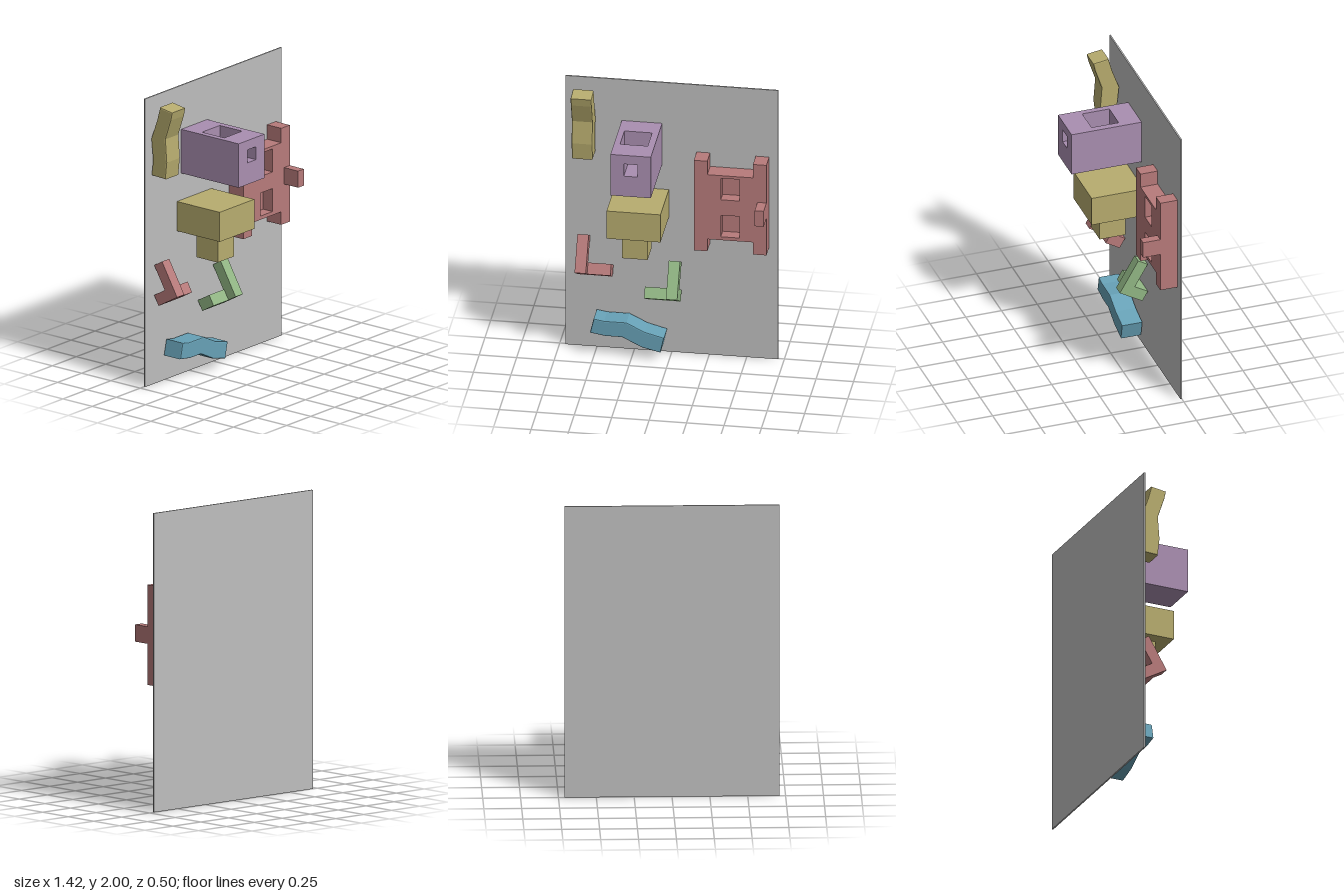
import * as THREE from 'three';

const mat = (name, color) => {
  const m = new THREE.MeshStandardMaterial({ color });
  m.name = name;
  return m;
};

export function createModel() {
  const grey = mat('grey', 0xbebebe);
  const purple = mat('purple', 0xaa8fb1);
  const yellow = mat('yellow', 0xb8ad6f);
  const red = mat('red', 0xb87b7b);
  const green = mat('green', 0x92b785);
  const blue = mat('blue', 0x67a1b6);

  const root = new THREE.Group();
  root.name = 'displayBoard';

  const add = (parent, name, geometry, material) => {
    const mesh = new THREE.Mesh(geometry, material);
    mesh.name = name;
    parent.add(mesh);
    return mesh;
  };
  const group = (name) => {
    const g = new THREE.Group();
    g.name = name;
    root.add(g);
    return g;
  };
  // box given by its limits on each axis
  const box = (parent, name, material, [x0, x1], [y0, y1], [z0, z1]) => {
    const g = new THREE.BoxGeometry(x1 - x0, y1 - y0, z1 - z0);
    g.translate((x0 + x1) / 2, (y0 + y1) / 2, (z0 + z1) / 2);
    return add(parent, name, g, material);
  };
  const points = (list) => list.map(([x, y]) => new THREE.Vector2(x, y));
  const rect = (x0, x1, y0, y1) => points([[x0, y0], [x1, y0], [x1, y1], [x0, y1]]);
  const shapeOf = (outline, holes = []) => {
    const s = new THREE.Shape(outline);
    holes.forEach((h) => s.holes.push(new THREE.Path(h)));
    return s;
  };
  const extrude = (shape, depth) => new THREE.ExtrudeGeometry(shape, { depth, bevelEnabled: false });
  // extrusion with slightly softened edges, kept inside its outline
  const softExtrude = (outline, depth, b = 0.008) =>
    new THREE.ExtrudeGeometry(shapeOf(points(outline)), {
      depth: depth - 2 * b, bevelThickness: b, bevelSize: b, bevelOffset: -b, bevelSegments: 2,
    }).translate(0, 0, b);

  // back board
  box(root, 'backPanel', grey, [-0.71, 0.71], [0, 2], [-0.25, -0.24]);

  // socket block: solid base, layer with a front tunnel, layer with the top opening
  const socket = group('socketBlock');
  box(socket, 'socketBase', purple, [-0.335, -0.065], [1.39, 1.54], [-0.24, 0.25]);
  const layer = (name, shape, y0, y1) => {
    const g = extrude(shape, y1 - y0);
    g.rotateX(-Math.PI / 2).translate(0, y0, 0);
    add(socket, name, g, purple);
  };
  // shapes are drawn in x and -z
  layer('tunnelLayer', shapeOf(points([
    [-0.335, -0.25], [-0.245, -0.25], [-0.245, -0.095], [-0.295, -0.095], [-0.295, 0.095],
    [-0.11, 0.095], [-0.11, -0.095], [-0.155, -0.095], [-0.155, -0.25], [-0.065, -0.25],
    [-0.065, 0.24], [-0.335, 0.24],
  ])), 1.54, 1.63);
  layer('openingLayer', shapeOf(rect(-0.335, -0.065, -0.25, 0.24),
    [rect(-0.295, -0.11, -0.095, 0.095)]), 1.63, 1.695);

  // plug block with its stem
  const plug = group('plugBlock');
  box(plug, 'plugHead', yellow, [-0.38, -0.02], [1.0, 1.205], [-0.24, 0.125]);
  box(plug, 'plugStem', yellow, [-0.29, -0.12], [0.815, 1.0], [-0.145, 0.035]);

  // H-shaped frame with two recesses and a side peg
  const frame = group('frame');
  const outline = points([
    [0.165, 0.83], [0.255, 0.83], [0.255, 0.92], [0.56, 0.92], [0.56, 0.83], [0.65, 0.83],
    [0.65, 1.5], [0.56, 1.5], [0.56, 1.4], [0.255, 1.4], [0.255, 1.5], [0.165, 1.5],
  ]);
  const recesses = [rect(0.345, 0.47, 1.22, 1.38), rect(0.345, 0.47, 0.945, 1.105)];
  add(frame, 'frameBack', extrude(shapeOf(outline), 0.04).translate(0, 0, -0.24), red);
  add(frame, 'frameFront', extrude(shapeOf(outline, recesses), 0.08).translate(0, 0, -0.2), red);
  box(frame, 'framePeg', red, [0.59, 0.65], [1.105, 1.22], [-0.12, 0]);

  // three-armed brackets, leaning back against the board; side mirrors the foot
  const bracket = (name, material, x, y, side) => {
    const g = group(name);
    g.position.set(x, y, -0.042);
    g.rotation.x = -Math.PI / 6;
    const w = 0.0375;
    box(g, 'upright', material, [-w, w], [0, 0.257], [-0.077, 0]);
    box(g, 'rearArm', material, [-w, w], [0, 0.077], [-0.182, -0.077]);
    const span = [side * w, side * (w + 0.155)].sort((a, b) => a - b);
    box(g, 'foot', material, span, [0, 0.077], [-0.182, -0.07]);
  };
  bracket('redBracket', red, -0.5825, 0.64, 1);
  bracket('greenBracket', green, 0.0275, 0.49, -1);

  // wavy bar lying along the bottom
  add(root, 'blueWavyBar', softExtrude([
    [-0.525, 0.175], [-0.42, 0.158], [-0.31, 0.158], [-0.18, 0.093], [-0.055, 0.063],
    [-0.03, 0.175], [-0.16, 0.21], [-0.28, 0.27], [-0.43, 0.27], [-0.5, 0.282],
  ], 0.145).translate(0, 0, -0.235), blue);

  // wavy bar standing upright, profile drawn in -z and y, extruded along x
  const standing = softExtrude([
    [0.118, 1.45], [0.238, 1.455], [0.225, 1.56], [0.24, 1.71], [0.19, 1.85], [0.165, 1.942],
    [0.058, 1.926], [0.07, 1.87], [0.117, 1.73], [0.105, 1.57],
  ], 0.14);
  standing.rotateY(Math.PI / 2).translate(-0.65, 0, 0);
  add(root, 'yellowWavyBar', standing, yellow);

  return root;
}
